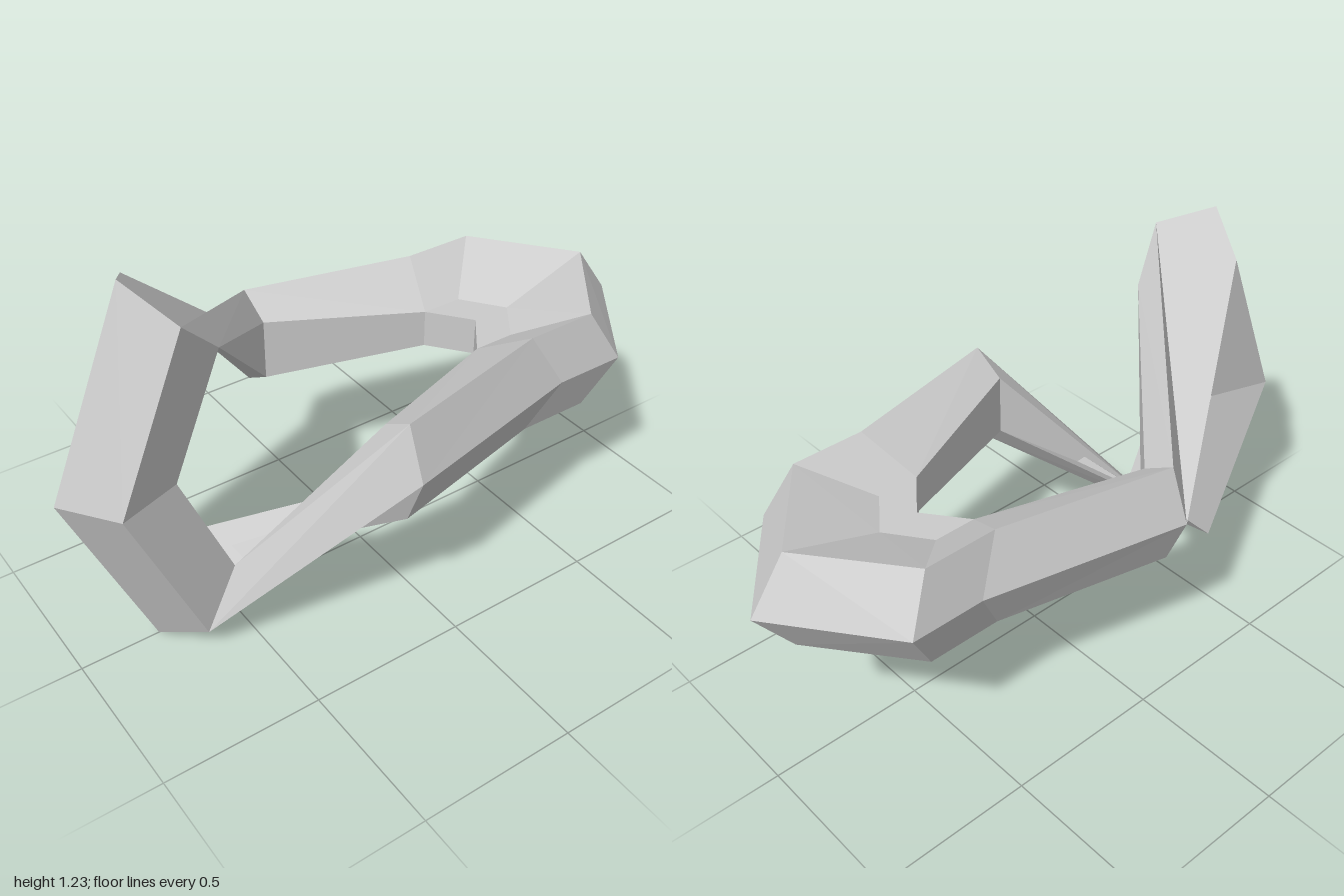
import * as THREE from 'three';

const MID = 0.617; // height of the horizontal symmetry plane

// Each ring has 7 points: outer ridge, then shoulder, ledge, inner edge on
// the + side, then the same three mirrored on the - side.
function ring(make, [outer, shoulder, ledge, inner]) {
  const at = ([p, z, offset], s) => make(p, z, offset * s);
  return [
    at(outer, 0), at(shoulder, 1), at(ledge, 1), at(inner, 1),
    at(inner, -1), at(ledge, -1), at(shoulder, -1),
  ];
}
// rings of the horizontal half: points are [x, z, height offset]
const flatRing = (side, pts) =>
  ring((x, z, o) => new THREE.Vector3(x * side, MID + o, z), pts);
// rings of the upright half: points are [height from middle, z, x offset]
const uprightRing = (side, pts) =>
  ring((y, z, o) => new THREE.Vector3(o, MID + y * side, z), pts);

function createLoopGeometry() {
  const backTip = [[0, -1, 0], [0, -0.88, 0.167], [0, -0.575, 0.063], [0, -0.445, 0.063]];
  const backCorner = [[0.35, -0.735, 0], [0.3, -0.645, 0.167], [0.13, -0.48, 0.063], [0.13, -0.345, 0.063]];
  const backArm = [[0.35, -0.5, 0], [0.3, -0.41, 0.167], [0.13, -0.345, 0.063], [0.13, -0.345, 0.063]];
  const sideBend = [[0.495, 0.14, 0], [0.428, 0.14, 0.167], [0.32, 0.14, 0.102], [0.32, 0.14, 0.102]];
  const frontEnd = [[0.617, 0.745, 0], [0.53, 0.66, 0.165], [0.385, 0.525, 0.102], [0.385, 0.525, 0.102]];
  const frontBend = [[0, 1, 0], [0, 0.88, 0.165], [0, 0.685, 0.102], [0, 0.685, 0.102]];

  // closed path: back, left side, bottom, front, top, right side, back
  const rings = [
    flatRing(1, backTip), flatRing(1, backCorner), flatRing(1, backArm), flatRing(1, sideBend),
    uprightRing(-1, frontEnd), uprightRing(1, frontBend), uprightRing(1, frontEnd),
    flatRing(-1, sideBend), flatRing(-1, backArm), flatRing(-1, backCorner),
  ];
  // which way the quads of each segment are split
  const split = [1, 1, 1, 0, 0, 1, 1, 0, 0, 0];

  const positions = [];
  const tri = (a, b, c) => {
    if (new THREE.Triangle(a, b, c).getArea() < 1e-6) return;
    for (const v of [a, b, c]) positions.push(v.x, v.y, v.z);
  };
  rings.forEach((r0, k) => {
    const r1 = rings[(k + 1) % rings.length];
    for (let i = 0; i < 7; i++) {
      const j = (i + 1) % 7;
      const [a, b, c, d] = [r0[i], r0[j], r1[j], r1[i]];
      if ((i < 3) === Boolean(split[k])) {
        tri(a, b, d);
        tri(b, c, d);
      } else {
        tri(a, b, c);
        tri(a, c, d);
      }
    }
  });

  const geometry = new THREE.BufferGeometry();
  geometry.setAttribute('position', new THREE.Float32BufferAttribute(positions, 3));
  geometry.computeVertexNormals();
  return geometry;
}

export function createModel() {
  const group = new THREE.Group();
  group.name = 'twistedLink';
  const material = new THREE.MeshStandardMaterial({
    color: 0xcccccc, flatShading: true, side: THREE.DoubleSide,
  });
  const loop = new THREE.Mesh(createLoopGeometry(), material);
  loop.name = 'twistedLoop';
  group.add(loop);
  return group;
}
